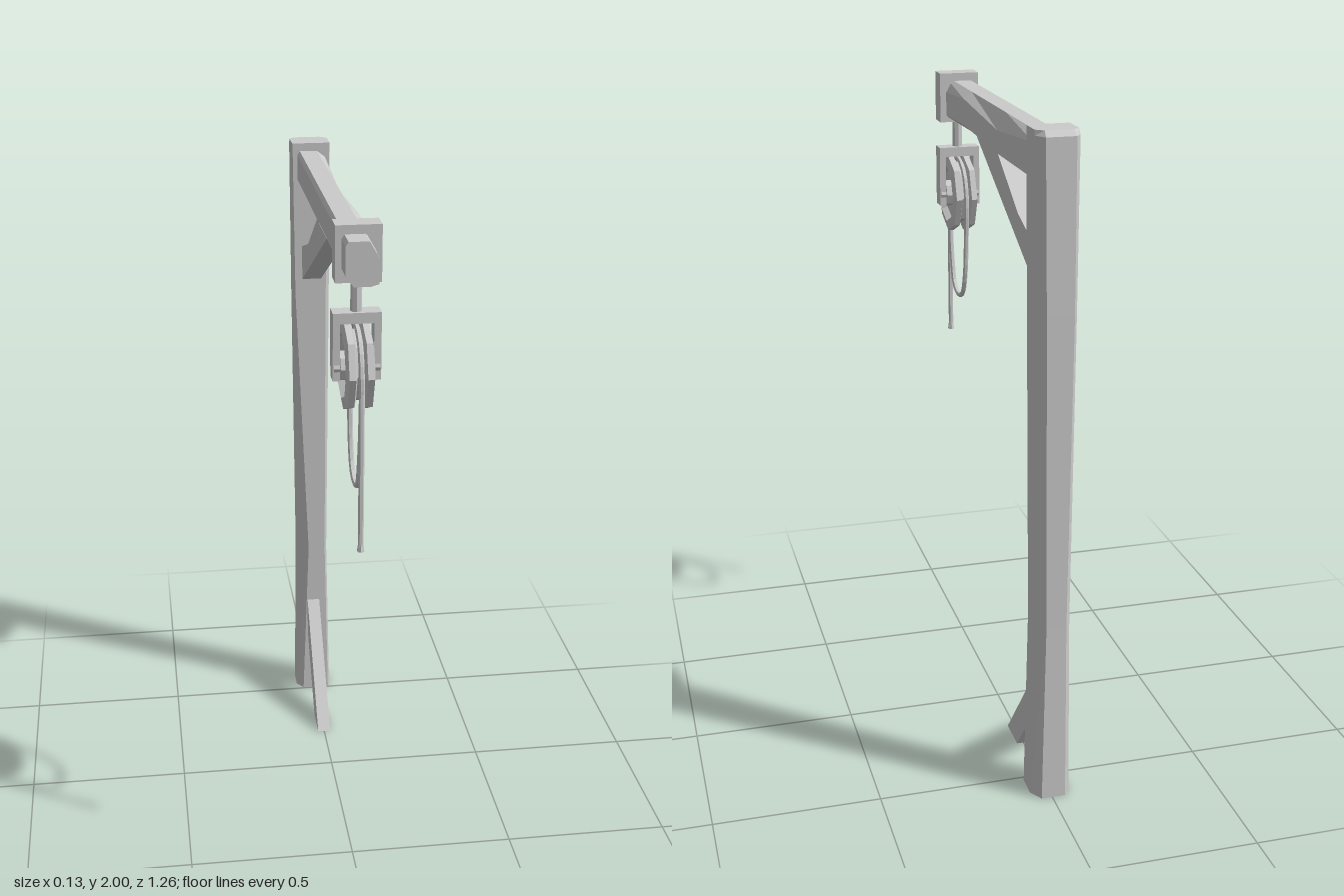
import * as THREE from 'three';

const mat = new THREE.MeshStandardMaterial({ color: 0xcccccc, flatShading: true, side: THREE.DoubleSide });

function add(parent, name, geo, x = 0, y = 0, z = 0) {
  const m = new THREE.Mesh(geo, mat);
  m.name = name;
  m.position.set(x, y, z);
  parent.add(m);
  return m;
}

// Rectangle with a separate [dx, dy] chamfer at each corner, counter-clockwise from x0,y0
function section(z, x0, x1, y0, y1, [a, b, c, d]) {
  return [
    [x0, y0 + a[1]], [x0 + a[0], y0], [x1 - b[0], y0], [x1, y0 + b[1]],
    [x1, y1 - c[1]], [x1 - c[0], y1], [x0 + d[0], y1], [x0, y1 - d[1]],
  ].map(([x, y]) => new THREE.Vector3(x, y, z));
}

// Flat-shaded skin through sections stacked along +z, capped at both ends
function loft(sections) {
  const pts = [];
  const n = sections[0].length;
  for (let s = 0; s < sections.length - 1; s++) {
    const p = sections[s], q = sections[s + 1];
    for (let i = 0; i < n; i++) {
      const j = (i + 1) % n;
      pts.push(p[i], p[j], q[j], p[i], q[j], q[i]);
    }
  }
  const first = sections[0], last = sections[sections.length - 1];
  for (let i = 1; i < n - 1; i++) {
    pts.push(first[0], first[i + 1], first[i], last[0], last[i], last[i + 1]);
  }
  const g = new THREE.BufferGeometry().setFromPoints(pts);
  g.computeVertexNormals();
  return g;
}

// Side outline given as [z, y], extruded to a width centred on x = 0
function sidePlank(outline, width) {
  const shape = new THREE.Shape(outline.map(([z, y]) => new THREE.Vector2(-z, y)));
  const g = new THREE.ExtrudeGeometry(shape, { depth: width, bevelEnabled: false });
  return g.translate(0, 0, -width / 2).rotateY(Math.PI / 2);
}

function rope(points, closed, segments) {
  const curve = new THREE.CatmullRomCurve3(
    points.map(([z, y]) => new THREE.Vector3(0, y, z)), closed, 'centripetal');
  return new THREE.TubeGeometry(curve, segments, 0.008, 6, closed);
}

export function createModel() {
  const crane = new THREE.Group();
  crane.name = 'hoistCrane';

  // Hewn upright post: corners are front left, front right, back right, back left
  const e = 0.001;
  const post = loft([
    section(0, -0.06, 0.058, 0.505, 0.625, [[0.022, 0.03], [0.006, 0.01], [0.025, 0.04], [0.02, 0.03]]),
    section(0.57, -0.052, 0.048, 0.505, 0.62, [[0.036, 0.035], [0.007, 0.01], [0.025, 0.035], [0.015, 0.02]]),
    section(1.5, -0.058, 0.058, 0.505, 0.622, [[0.004, 0.005], [0.012, 0.012], [0.025, 0.037], [0.012, 0.02]]),
    section(1.985, -0.06, 0.06, 0.505, 0.62, [[e, e], [e, e], [0.02, 0.035], [0.015, 0.02]]),
    section(2, -0.06, 0.06, 0.505, 0.602, [[e, e], [e, e], [0.022, 0.02], [0.018, 0.015]]),
  ]).rotateX(-Math.PI / 2);
  add(crane, 'post', post);

  // Hewn horizontal beam with a wandering chamfer
  const beam = [[-0.52, 0.02, 0.004], [-0.16, 0.05, 0.004], [0.24, 0.02, 0.02], [0.61, 0.045, 0.006]];
  add(crane, 'beam', loft(beam.map(([z, top, low]) =>
    section(z, -0.044, 0.045, 1.855, 1.975,
      [[0.022, 0.03], [0.022, low], [0.026, top], [0.008, 0.012]]))));

  // Diagonal braces
  add(crane, 'upperBrace', sidePlank(
    [[0.13, 1.857], [-0.1, 1.857], [-0.33, 1.72], [-0.515, 1.662], [-0.515, 1.55]], 0.062));
  add(crane, 'footBrace', sidePlank(
    [[-0.2, 0], [-0.31, 0], [-0.515, 0.245], [-0.515, 0.375]], 0.042));

  // Collar around the beam and the rod hanging from it
  add(crane, 'collar', new THREE.BoxGeometry(0.125, 0.155, 0.066), 0.002, 1.922, 0.5);
  add(crane, 'hangerRod', new THREE.CylinderGeometry(0.016, 0.016, 0.11, 8), 0, 1.8, 0.505);

  // Yoke holding the pulley
  const yoke = new THREE.Group();
  yoke.name = 'yoke';
  crane.add(yoke);
  add(yoke, 'yokeTop', new THREE.BoxGeometry(0.132, 0.03, 0.052), 0, 1.745, 0.503);
  for (const s of [-1, 1]) {
    add(yoke, 'yokeArm', new THREE.BoxGeometry(0.02, 0.16, 0.052), s * 0.056, 1.65, 0.503);
  }

  // Eight-sided grooved wheel with raised rim and hub
  const profile = [
    [0, -0.046], [0.042, -0.046], [0.042, -0.022], [0.082, -0.022], [0.094, -0.04],
    [0.126, -0.034], [0.126, -0.016], [0.102, -0.009],
    [0.102, 0.009], [0.126, 0.016], [0.126, 0.034], [0.094, 0.04],
    [0.082, 0.022], [0.042, 0.022], [0.042, 0.046], [0, 0.046],
  ].map(([r, h]) => new THREE.Vector2(r, h));
  add(crane, 'pulleyWheel', new THREE.LatheGeometry(profile, 8).rotateZ(Math.PI / 2), 0, 1.606, 0.503);
  add(crane, 'axle', new THREE.CylinderGeometry(0.03, 0.03, 0.126, 8).rotateZ(Math.PI / 2), 0, 1.606, 0.503);

  // Rope loop over the wheel, loose end and its knot
  add(crane, 'ropeLoop', rope([
    [0.617, 1.606], [0.61, 1.46], [0.59, 1.35], [0.562, 1.28], [0.503, 1.257], [0.445, 1.28],
    [0.412, 1.35], [0.396, 1.46], [0.387, 1.606], [0.422, 1.688], [0.503, 1.72], [0.584, 1.688],
  ], true, 36));
  add(crane, 'ropeEnd', rope([[0.6, 1.66], [0.616, 1.61], [0.621, 1.45], [0.621, 1.11]], false, 8));
  add(crane, 'ropeKnot', new THREE.CylinderGeometry(0.006, 0.011, 0.035, 6), 0, 1.12, 0.621);

  return crane;
}
